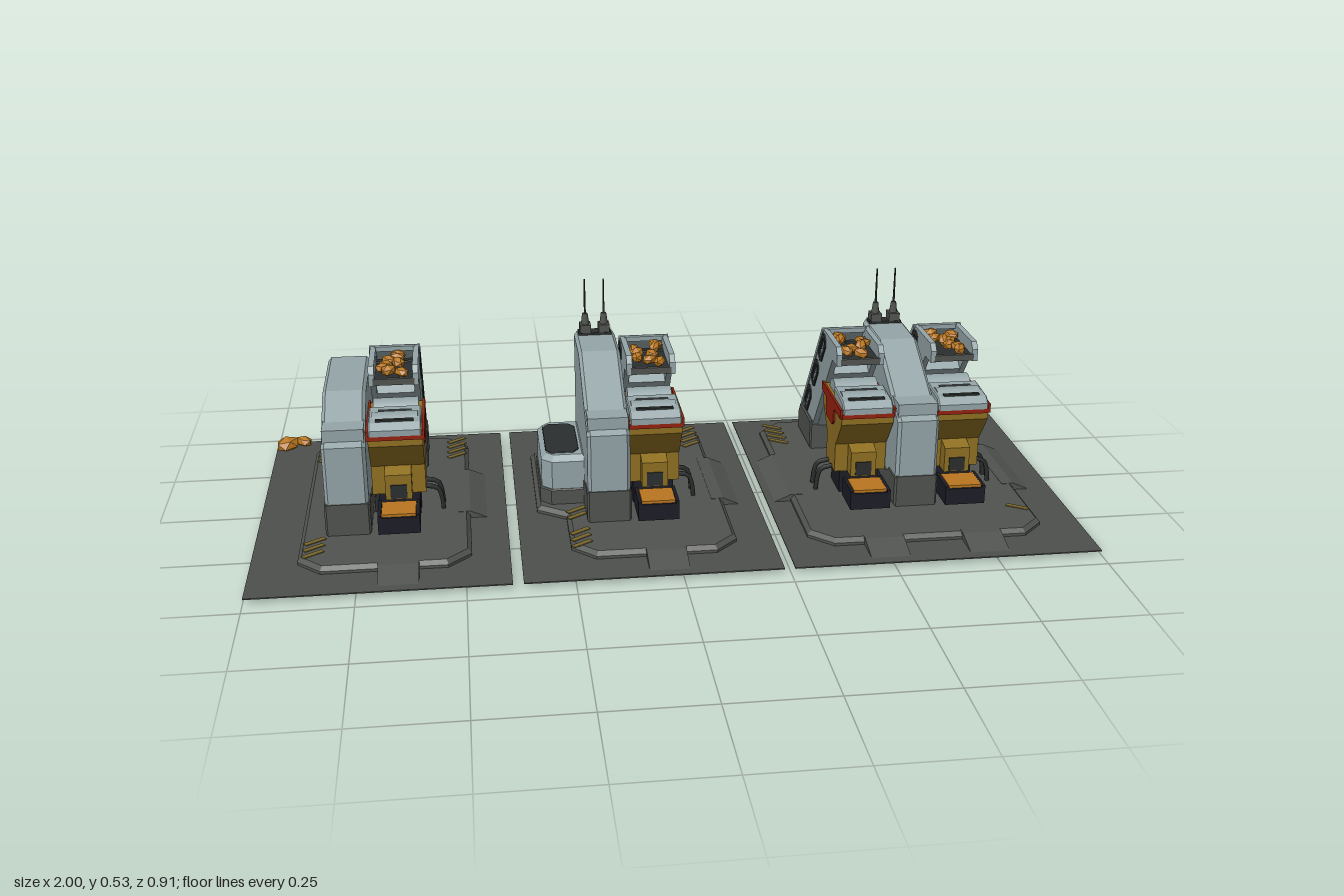
import * as THREE from 'three';

const mat = (name, color) => Object.assign(new THREE.MeshStandardMaterial({ color }), { name });
const M = {
  ground: mat('ground grey', 0x4d504c),
  dark: mat('dark grey', 0x50534f),
  light: mat('pale blue grey', 0x95a5a8),
  black: mat('near black', 0x2b2e2e),
  navy: mat('navy black', 0x1c1c26),
  yellow: mat('ochre', 0x8f7022),
  red: mat('dark red', 0x93210f),
  ore: mat('orange ore', 0xb97720),
  stripe: mat('worn yellow', 0x77652c),
};

function add(parent, name, geo, material, x = 0, y = 0, z = 0) {
  const m = new THREE.Mesh(geo, material);
  m.name = name;
  m.position.set(x, y, z);
  parent.add(m);
  return m;
}
const box = (p, name, m, w, h, d, x, y, z) => add(p, name, new THREE.BoxGeometry(w, h, d), m, x, y, z);
const shapeOf = pts => new THREE.Shape(pts.map(p => new THREE.Vector2(p[0], p[1])));

// Side profile in (z, y), extruded across x and centred on x = 0
function profile(shape, width, bevel = 0) {
  const g = new THREE.ExtrudeGeometry(shape, {
    depth: width - 2 * bevel, bevelEnabled: bevel > 0, bevelSize: bevel, bevelThickness: bevel,
    bevelOffset: -bevel, bevelSegments: 1, curveSegments: 5,
  });
  return g.translate(0, 0, -(width - 2 * bevel) / 2).rotateY(-Math.PI / 2);
}

// Plan outline in (x, z), extruded upward
function slab(pts, h, bevel) {
  return new THREE.ExtrudeGeometry(shapeOf(pts.map(([x, z]) => [x, -z])), {
    depth: h - bevel, bevelEnabled: true, bevelSize: bevel, bevelThickness: bevel,
    bevelOffset: -bevel, bevelSegments: 1,
  }).rotateX(-Math.PI / 2);
}

let seed = 7;
const rnd = () => (seed = (seed * 16807) % 2147483647) / 2147483647;
function rock(p, x, y, z, r) {
  const m = add(p, 'oreChunk', new THREE.IcosahedronGeometry(r, 0), M.ore, x, y, z);
  m.scale.set(0.75 + rnd() * 0.2, 0.7, 1.25);
  m.rotation.set(rnd() * 0.5, rnd() * 3, rnd() * 0.5);
}

// Slope of the conveyor arm in (z, y): along and across directions
const ALONG = [-0.608, -0.794], ACROSS = [0.794, -0.608], TOP = [-0.115, 0.39];
const onArm = (t, o) => [0, 1].map(i => TOP[i] + ALONG[i] * t + ACROSS[i] * o);
const SLOTS = [0.04, 0.16, 0.285];
function slot(t, len, wid, Type = THREE.Path) {
  const pts = [[-len, -0.4], [-0.7 * len, -1], [0.7 * len, -1], [len, -0.4], [len, 0.4], [0.7 * len, 1], [-0.7 * len, 1], [-len, 0.4]];
  return new Type(pts.map(([a, b]) => new THREE.Vector2(...onArm(t + a, 0.032 + b * wid))));
}

function conveyorArm(p) {
  const g = new THREE.Group();
  g.name = 'conveyorArm';
  p.add(g);
  // Pierced side walls with dark window frames
  const wall = shapeOf([[0.035, 0.392], TOP, [-0.345, 0.09], [-0.2, 0.09], [0, 0.345], [0.05, 0.345], [0.05, 0.375]]);
  SLOTS.forEach(t => wall.holes.push(slot(t, 0.036, 0.013)));
  for (const s of [-1, 1]) {
    add(g, 'armWall', profile(wall, 0.014), M.light, s * 0.053);
    for (const t of SLOTS) {
      const frame = slot(t, 0.048, 0.022, THREE.Shape);
      frame.holes.push(slot(t, 0.034, 0.012));
      add(g, 'windowFrame', profile(frame, 0.006), M.black, s * 0.06);
    }
  }
  // Back cover, underside and belt
  const strip = (t0, t1, o0, o1) => shapeOf([onArm(t0, o0), onArm(t1, o0), onArm(t1, o1), onArm(t0, o1)]);
  add(g, 'backCover', profile(strip(0, 0.385, -0.003, 0.008), 0.126), M.light);
  add(g, 'armUnderside', profile(strip(0.035, 0.355, 0.05, 0.117), 0.092), M.light);
  add(g, 'belt', profile(strip(0, 0.36, 0.045, 0.05), 0.092), M.black);
  box(g, 'troughFloor', M.black, 0.092, 0.012, 0.15, 0, 0.354, -0.03);
  box(g, 'troughEnd', M.light, 0.1, 0.012, 0.012, 0, 0.386, -0.108);
  box(g, 'troughLip', M.dark, 0.1, 0.016, 0.01, 0, 0.355, 0.046);
  // Heavy foot
  add(g, 'armFoot', profile(shapeOf([[-0.2, 0.02], [-0.36, 0.02], [-0.36, 0.07], [-0.338, 0.1], [-0.2, 0.1]]), 0.132, 0.004), M.dark);
  // Ore on the belt and in the trough
  for (const t of [0.04, 0.15, 0.27, 0.31]) {
    const [z, y] = onArm(t, 0.032);
    rock(g, 0.028, y, z, 0.018);
    rock(g, -0.028, y, z, 0.018);
  }
  for (let i = 0; i < 8; i++) rock(g, (rnd() - 0.5) * 0.06, 0.374, 0.035 - i * 0.018, 0.017);
}

function hopper(p, pipeSides) {
  const g = new THREE.Group();
  g.name = 'hopper';
  p.add(g);
  add(g, 'hopperBody', profile(shapeOf([[0.147, 0.262], [-0.06, 0.262], [-0.06, 0.21], [-0.005, 0.15], [-0.005, 0.079], [0.09, 0.079], [0.09, 0.153], [0.105, 0.17], [0.147, 0.227]]), 0.13), M.yellow);
  // Red rim with a drop panel on each side
  const rim = [[0.149, 0.267], [-0.062, 0.267], [-0.062, 0.244], [-0.01, 0.244], [-0.01, 0.21], [0, 0.197],
    [0.063, 0.197], [0.075, 0.21], [0.075, 0.235], [0.085, 0.244], [0.149, 0.244]];
  for (const s of [-1, 1]) add(g, 'redSidePanel', profile(shapeOf(rim), 0.006), M.red, s * 0.067);
  box(g, 'redFrontRim', M.red, 0.13, 0.012, 0.006, 0, 0.25, 0.149);
  // Lid, grille and feed rollers
  add(g, 'hopperLid', profile(shapeOf([[0.153, 0.255], [0.153, 0.27], [0.135, 0.284], [0.045, 0.29], [0.045, 0.255]]), 0.126, 0.003), M.light);
  box(g, 'lidGrille', M.black, 0.08, 0.006, 0.018, 0, 0.287, 0.072);
  box(g, 'lidGrille', M.black, 0.09, 0.006, 0.01, 0, 0.286, 0.126);
  for (const z of [0.09, -0.005])
    add(g, 'feedRoller', new THREE.CylinderGeometry(0.036, 0.036, 0.11, 20).rotateZ(Math.PI / 2), M.light, 0, 0.256, z);
  // Outlet door and ingot tray
  add(g, 'outlet', profile(shapeOf([[0.085, 0.079], [0.127, 0.079], [0.127, 0.143], [0.085, 0.155]]), 0.064), M.yellow);
  box(g, 'outletOpening', M.black, 0.04, 0.035, 0.006, 0, 0.1, 0.127);
  box(g, 'tray', M.navy, 0.1, 0.042, 0.092, 0, 0.049, 0.167);
  for (const s of [-1, 1]) box(g, 'trayRim', M.navy, 0.008, 0.008, 0.092, s * 0.046, 0.072, 0.167);
  box(g, 'trayOre', M.ore, 0.082, 0.01, 0.075, 0, 0.072, 0.17);
  // Plinth and pipes
  box(g, 'plinth', M.navy, 0.1, 0.06, 0.09, 0, 0.05, 0.04);
  for (const s of [-1, 1]) for (const z of [0.02, 0.06]) {
    const out = pipeSides.includes(s) ? 0.105 : 0.06;
    const path = new THREE.CatmullRomCurve3([[0.045, 0.085], [out - 0.012, 0.075], [out - 0.004, 0.055], [out, 0.02]]
      .map(([x, y]) => new THREE.Vector3(s * x, y, z)));
    add(g, 'pipe', new THREE.TubeGeometry(path, 8, 0.006, 6), M.black);
  }
}

function unit(p, x, pipeSides) {
  const g = new THREE.Group();
  g.name = 'smelterUnit';
  g.position.x = x;
  p.add(g);
  conveyorArm(g);
  hopper(g, pipeSides);
}

// Tall housing beside the conveyor, optionally with twin masts
function housing(p, x, h, masts) {
  const g = new THREE.Group();
  g.name = 'housing';
  g.position.x = x;
  p.add(g);
  const zTop = 0.187 - (h - 0.245) * 1.87;
  add(g, 'housingBody', profile(shapeOf([[0.187, 0.06], [0.187, 0.245], [zTop, h], [-0.218, h], [-0.218, 0.06]]), 0.104, 0.008), M.light);
  add(g, 'housingBase', profile(shapeOf([[0.19, 0.02], [0.19, 0.1], [0.12, 0.1], [0.1, 0.085], [-0.221, 0.085], [-0.221, 0.02]]), 0.109, 0.005), M.dark);
  box(g, 'frontCap', M.light, 0.098, 0.055, 0.07, 0, 0.256, 0.135);
  if (!masts) return;
  box(g, 'rearVent', M.black, 0.026, 0.15, 0.006, 0, 0.255, -0.218);
  box(g, 'mastPlate', M.black, 0.084, 0.008, 0.036, 0, h + 0.002, -0.197);
  for (const s of [-1, 1]) {
    box(g, 'mastBase', M.dark, 0.028, 0.026, 0.034, s * 0.024, h + 0.013, -0.197);
    add(g, 'mastCollar', new THREE.CylinderGeometry(0.007, 0.011, 0.03, 8), M.dark, s * 0.024, h + 0.039, -0.197);
    add(g, 'mastRod', new THREE.CylinderGeometry(0.002, 0.003, 0.1, 6), M.black, s * 0.024, 0.47, -0.197);
  }
}

// Raised foundation with rear notches, a front ramp per unit and side ramps
function foundation(p, xl, xr, unitsX, leftEdge, ramps) {
  const c = 0.055, back = -0.405, front = 0.355;
  const notch = unitsX.flatMap(x => [[x - 0.045, back], [x - 0.02, back + 0.025], [x + 0.02, back + 0.025], [x + 0.045, back]]);
  add(p, 'foundation', slab([[xl + c, back], ...notch, [xr - c, back], [xr, back + c], [xr, front - c], [xr - c, front],
    [xl + c, front], [xl, front - c], ...leftEdge, [xl, back + c]], 0.02, 0.01), M.dark);
  for (const x of unitsX)
    add(p, 'frontRamp', profile(shapeOf([[0.34, 0], [0.44, 0], [0.36, 0.021], [0.34, 0.021]]), 0.095), M.dark, x);
  for (const s of ramps) {
    const x = s > 0 ? xr : xl;
    const pts = [[x - s * 0.03, 0], [x + s * 0.047, 0], [x, 0.021], [x - s * 0.03, 0.021]];
    const g = new THREE.ExtrudeGeometry(shapeOf(pts), { depth: 0.26, bevelEnabled: false });
    add(p, 'sideRamp', g, M.dark, 0, 0, -0.17);
  }
}

// Cluster of worn diagonal floor bars
function stripes(p, x, z, n, dir) {
  for (let i = 0; i < n; i++) {
    const m = box(p, 'floorStripe', M.stripe, 0.055, 0.002, 0.014, x, 0.0212, z + (i - (n - 1) / 2) * 0.034);
    m.rotation.y = dir * 0.6;
  }
}

export function createModel() {
  const root = new THREE.Group();
  root.name = 'smelterStations';
  const station = (name, x0, x1) => {
    const g = new THREE.Group();
    g.name = name;
    root.add(g);
    box(g, 'groundPlate', M.ground, x1 - x0, 0.003, 0.91, (x0 + x1) / 2, 0.0015, 0);
    return g;
  };

  const a = station('smallStation', -1, -0.395);
  foundation(a, -0.89, -0.485, [-0.655], [], [1]);
  unit(a, -0.655, [1]);
  housing(a, -0.776, 0.33, false);
  rock(a, -0.972, 0.014, -0.418, 0.028);
  rock(a, -0.93, 0.012, -0.438, 0.02);

  const b = station('middleStation', -0.37, 0.235);
  foundation(b, -0.25, 0.147, [-0.03], [[-0.25, 0.13], [-0.32, 0.08], [-0.32, -0.26], [-0.25, -0.31]], [1]);
  unit(b, -0.03, [1]);
  housing(b, -0.148, 0.375, true);
  // Low side tank with a recessed hatch
  add(b, 'sideTank', slab([[-0.28, -0.175], [-0.19, -0.175], [-0.19, 0.07], [-0.28, 0.07], [-0.305, 0.045], [-0.305, -0.15]], 0.126, 0.014), M.light, 0, 0.02);
  add(b, 'sideTankBase', slab([[-0.283, -0.179], [-0.19, -0.179], [-0.19, 0.074], [-0.283, 0.074], [-0.309, 0.048], [-0.309, -0.153]], 0.04, 0.003), M.dark, 0, 0.02);
  add(b, 'tankHatch', slab([[-0.28, -0.145], [-0.225, -0.145], [-0.21, -0.125], [-0.21, 0.025], [-0.225, 0.045], [-0.28, 0.045], [-0.293, 0.025], [-0.293, -0.125]], 0.006, 0.001), M.black, 0, 0.142);

  const c = station('twinStation', 0.26, 1);
  foundation(c, 0.32, 0.9, [0.495, 0.735], [], [-1, 1]);
  unit(c, 0.495, [-1]);
  unit(c, 0.735, [1]);
  housing(c, 0.615, 0.375, true);

  for (const [p, x, z, n, d] of [[a, -0.855, -0.31, 4, -1], [a, -0.515, -0.32, 4, 1], [a, -0.855, 0.25, 3, 1],
    [b, -0.22, -0.31, 4, -1], [b, 0.115, -0.32, 4, 1], [b, -0.225, 0.27, 3, 1], [b, -0.225, 0.13, 2, 1],
    [c, 0.355, -0.31, 4, -1], [c, 0.865, -0.32, 4, 1], [c, 0.865, 0.23, 1, -1]]) stripes(p, x, z, n, d);
  return root;
}
